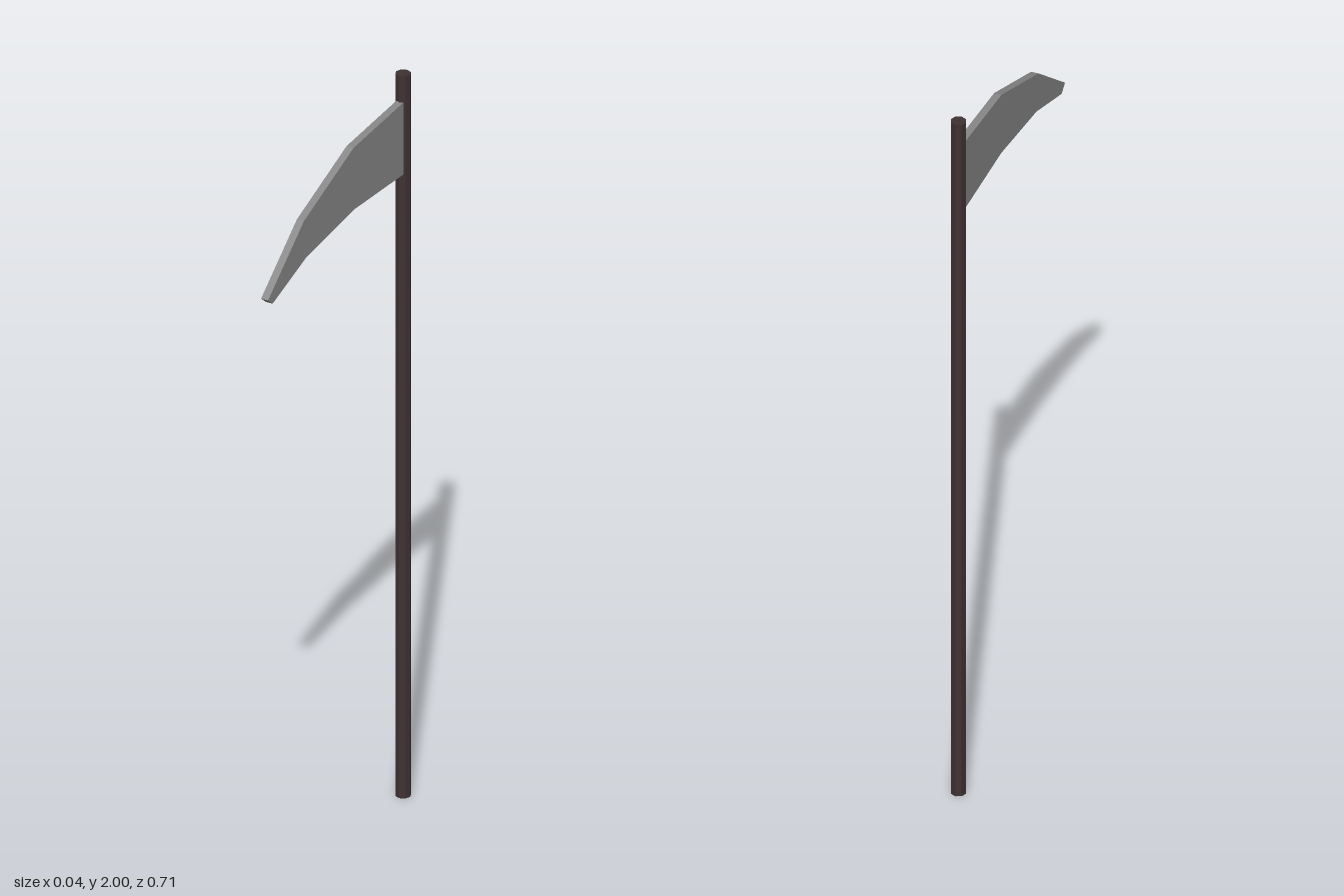
import * as THREE from 'three';

const POLE_Z = -0.335;
const BLADE_THICKNESS = 0.02;

export function createModel() {
  const model = new THREE.Group();
  model.name = 'scythe';

  const wood = new THREE.MeshStandardMaterial({ color: 0x3f3132, flatShading: true });
  wood.name = 'dark wood';
  const steel = new THREE.MeshStandardMaterial({ color: 0x888888, flatShading: true });
  steel.name = 'grey steel';

  // Straight eight-sided pole
  const pole = new THREE.Mesh(new THREE.CylinderGeometry(0.02, 0.02, 2, 8), wood);
  pole.name = 'pole';
  pole.position.set(0, 1, POLE_Z);
  model.add(pole);

  // Curved blade: side outline as (z, y), rooted inside the pole
  const outline = [
    [POLE_Z, 1.929], [-0.071, 1.913], [0.177, 1.82], [0.355, 1.68],
    [0.332, 1.661], [0.163, 1.715], [-0.074, 1.741], [POLE_Z, 1.728],
  ];
  const shape = new THREE.Shape(outline.map(([z, y]) => new THREE.Vector2(z, y)));
  const bladeGeometry = new THREE.ExtrudeGeometry(shape, { depth: BLADE_THICKNESS, bevelEnabled: false });
  bladeGeometry.translate(0, 0, -BLADE_THICKNESS / 2);
  bladeGeometry.rotateY(-Math.PI / 2);
  const blade = new THREE.Mesh(bladeGeometry, steel);
  blade.name = 'blade';
  model.add(blade);

  return model;
}
